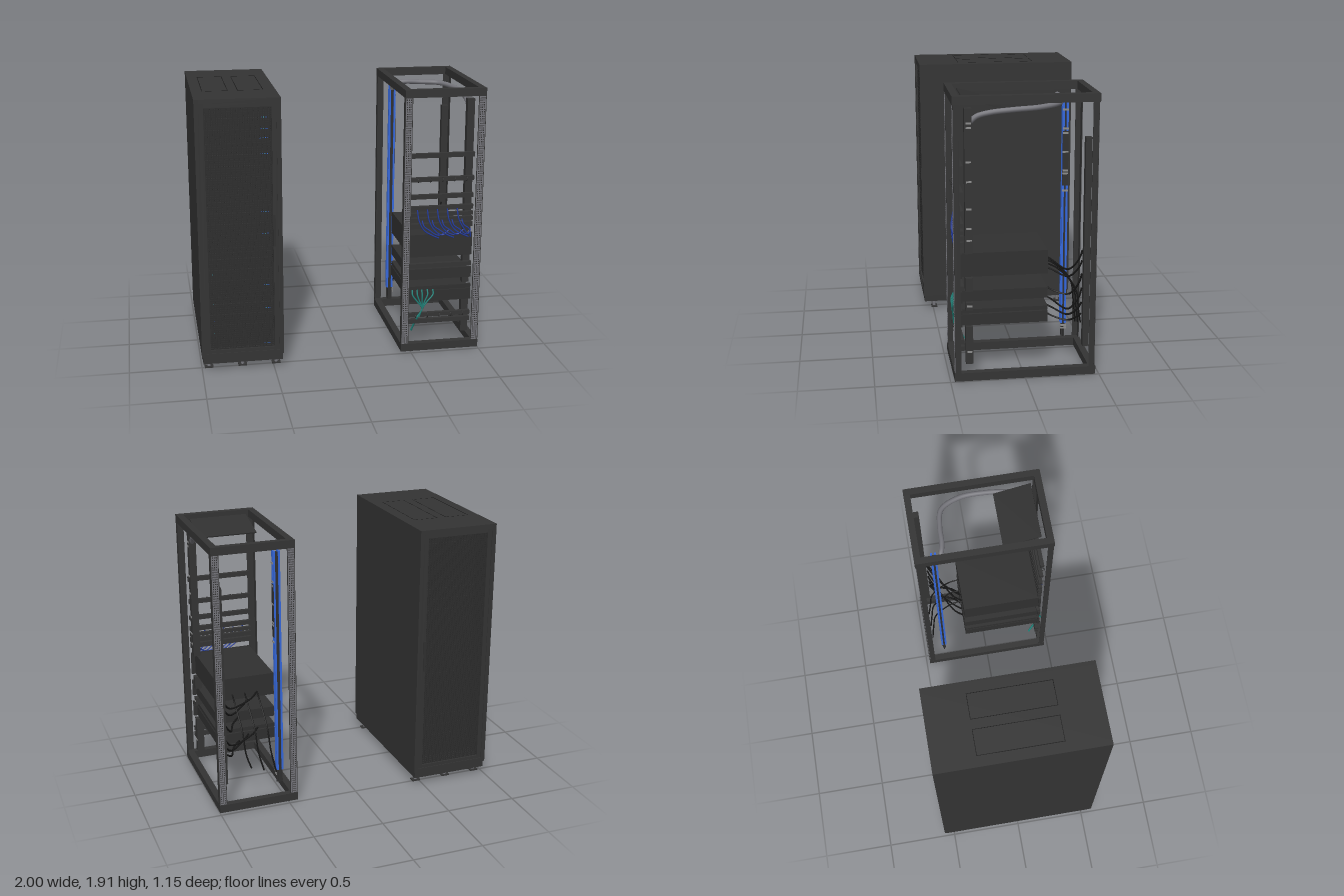
import * as THREE from 'three';
import { mergeGeometries } from 'three/addons/utils/BufferGeometryUtils.js';

const mat = (name, color) => {
  const m = new THREE.MeshStandardMaterial({ color });
  m.name = name;
  return m;
};

export function createModel() {
  const M = {
    frame: mat('charcoal frame', 0x343434),
    panel: mat('dark panel', 0x303030),
    mesh: mat('dark perforated steel', 0x2c2c2c),
    black: mat('black cable', 0x161616),
    grey: mat('grey conduit', 0x74747a),
    steel: mat('light steel', 0x8c8c8c),
    blue: mat('blue cable', 0x3568dc),
    navy: mat('navy patch cable', 0x243c9e),
    teal: mat('teal cable', 0x23857c),
    led: mat('cyan light', 0x3fc0d0),
  };
  const model = new THREE.Group();

  // box from its minimum and maximum corners
  const span = (x0, x1, y0, y1, z0, z1) =>
    new THREE.BoxGeometry(x1 - x0, y1 - y0, z1 - z0)
      .translate((x0 + x1) / 2, (y0 + y1) / 2, (z0 + z1) / 2);
  const add = (parent, name, material, geos) => {
    const m = new THREE.Mesh(mergeGeometries([].concat(geos)), material);
    m.name = name;
    parent.add(m);
    return m;
  };
  const cable = (pts, r, seg = 20, sides = 6) =>
    new THREE.TubeGeometry(
      new THREE.CatmullRomCurve3(pts.map(p => new THREE.Vector3(...p))), seg, r, sides);
  const group = name => {
    const g = new THREE.Group();
    g.name = name;
    model.add(g);
    return g;
  };
  // grid of thin bars in the xy plane, leaving rectangular holes
  const grid = (x0, x1, y0, y1, z0, z1, cols, rows, bw, bh) => {
    const out = [];
    for (let i = 0; i <= cols; i++) {
      const x = x0 + bw / 2 + (x1 - x0 - bw) * i / cols;
      out.push(span(x - bw / 2, x + bw / 2, y0, y1, z0, z1));
    }
    for (let j = 0; j <= rows; j++) {
      const y = y0 + bh / 2 + (y1 - y0 - bh) * j / rows;
      out.push(span(x0, x1, y - bh / 2, y + bh / 2, z0, z1));
    }
    return out;
  };
  // rectangular border of four bars in the xy plane
  const border = (x0, x1, y0, y1, z0, z1, w, h) => [
    span(x0, x0 + w, y0, y1, z0, z1), span(x1 - w, x1, y0, y1, z0, z1),
    span(x0 + w, x1 - w, y0, y0 + h, z0, z1), span(x0 + w, x1 - w, y1 - h, y1, z0, z1)];

  // ---------- closed cabinet ----------
  const cab = group('closedCabinet');
  const D = 0.572;
  add(cab, 'cabinetShell', M.frame, border(-1, -0.43, 0.1, 1.908, -D, D, 0.03, 0.03));
  add(cab, 'plinth', M.frame, span(-0.992, -0.438, 0.054, 0.1, -0.565, 0.565));
  for (const x of [-0.84, -0.6])
    add(cab, 'roofPlateSeam', M.black,
      border(x - 0.088, x + 0.088, -0.28, 0.285, 1.907, 1.9086, 0.004, 0.004)
        .map(g => g.rotateX(-Math.PI / 2)));

  for (const s of [1, -1]) {
    const door = new THREE.Group();
    door.name = s > 0 ? 'frontDoor' : 'rearDoor';
    cab.add(door);
    add(door, 'doorFrame', M.frame,
      border(-0.975, -0.455, 0.118, 1.885, s * 0.556 - 0.011, s * 0.556 + 0.011, 0.037, 0.036));
    add(door, 'doorMesh', M.mesh,
      grid(-0.938, -0.492, 0.152, 1.85, s * 0.554 - 0.002, s * 0.554 + 0.002, 40, 110, 0.006, 0.0085));
    add(door, 'doorHandle', M.panel,
      span(-0.494, -0.476, 0.885, 1.11, s * 0.565 - 0.008, s * 0.565 + 0.008));
  }

  // equipment stacked behind the door, with air gaps between groups of units
  const units = [];
  const pitch = 1.7 / 42;
  for (let i = 0; i < 42; i++) {
    const y = 0.15 + i * pitch, gap = i % 2 ? 0.011 : 0.002;
    units.push(span(-0.935, -0.495, y, y + pitch - gap, -0.42, 0.5));
  }
  add(cab, 'cabinetServers', M.panel, units);

  // status lights just behind the door mesh
  const cyan = [], blue = [];
  const light = (x, y) => span(x, x + 0.009, y, y + 0.014, 0.545, 0.549);
  for (const y of [1.77, 1.69, 1.63, 1.52, 1.12, 0.97, 0.6, 0.43, 0.17])
    for (let k = 0; k < 5; k++) (k % 3 === 2 ? cyan : blue).push(light(-0.575 + k * 0.012, y));
  for (const [i, y] of [1.5, 1.41, 1.19, 0.86, 0.69, 0.47, 0.36, 0.26].entries())
    (i % 3 ? cyan : blue).push(light(-0.916, y));
  add(cab, 'cyanLights', M.led, cyan);
  add(cab, 'blueLights', M.blue, blue);

  // levelling feet
  const stems = [], pads = [];
  for (const x of [-0.95, -0.715, -0.478]) for (const z of [-0.49, 0.49]) {
    stems.push(new THREE.CylinderGeometry(0.012, 0.012, 0.05, 10).translate(x, 0.032, z));
    pads.push(span(x - 0.03, x + 0.03, 0, 0.009, z - 0.022, z + 0.022));
  }
  add(cab, 'footStems', M.grey, stems);
  add(cab, 'footPads', M.frame, pads);

  // ---------- open rack ----------
  const rack = group('openRack');
  for (const [y0, y1, name] of [[0.003, 0.06, 'baseFrame'], [1.853, 1.908, 'topFrame']])
    add(rack, name, M.frame, [
      span(0.43, 0.477, y0, y1, -0.475, 0.472), span(0.953, 1, y0, y1, -0.475, 0.472),
      span(0.477, 0.953, y0, y1, 0.425, 0.472), span(0.477, 0.953, y0, y1, -0.475, -0.43),
    ]);

  // angle posts with a grey perforated strip on the outer face
  for (const sx of [-1, 1]) for (const sz of [-1, 1]) {
    const x = 0.715 + sx * 0.258, xs = 0.715 + sx * 0.282, z = sz * 0.466;
    add(rack, 'anglePost', M.frame, [
      span(x - 0.027, x + 0.027, 0.06, 1.853, z - 0.002, z + 0.002),
      span(xs - 0.002, xs + 0.002, 0.06, 1.853, sz * 0.448 - 0.02, sz * 0.448 + 0.02)]);
    add(rack, 'perforatedStrip', M.grey,
      grid(x - 0.022, x + 0.022, 0.062, 1.851, sz * 0.469 - 0.001, sz * 0.469 + 0.001, 3, 110, 0.0055, 0.0075));
  }

  // tilted tray under the roof
  const tray = add(rack, 'roofTray', M.panel, new THREE.BoxGeometry(0.41, 0.008, 0.27));
  tray.position.set(0.71, 1.845, 0.265);
  tray.rotation.x = -0.26;

  // deep servers with faceplates
  for (const [y0, y1] of [[0.70, 0.865], [0.53, 0.607], [0.447, 0.478], [0.362, 0.443]])
    add(rack, 'server', M.panel, [
      span(0.495, 0.918, y0 + 0.002, y1 - 0.002, -0.16, 0.42),
      span(0.485, 0.945, y0, y1, 0.412, 0.428)]);

  // shallow front panels
  for (const [y0, y1] of [[1.42, 1.452], [1.25, 1.28], [1.125, 1.156], [1.04, 1.072], [0.998, 1.022],
    [0.955, 0.986], [0.91, 0.945], [0.617, 0.648], [0.243, 0.273], [0.195, 0.227]])
    add(rack, 'blankPanel', M.frame, span(0.485, 0.945, y0, y1, 0.4, 0.428));

  // cable rings on the two manager panels
  for (const y of [1.265, 0.258]) {
    const rings = [];
    for (let i = 0; i < 5; i++)
      rings.push(new THREE.TorusGeometry(0.015, 0.003, 5, 10)
        .rotateY(Math.PI / 2).translate(0.54 + i * 0.087, y, 0.434));
    add(rack, 'cableRings', M.panel, rings);
  }

  // power strip on the rear post
  add(rack, 'powerStrip', M.frame, span(0.925, 0.97, 0.195, 1.62, -0.432, -0.39));

  // front vertical trunk, interrupted where the servers fill the rack
  add(rack, 'frontCableTrunk', M.frame,
    [[0.1, 0.362], [0.478, 0.53], [0.607, 0.7], [0.865, 1.82]]
      .map(([a, b]) => span(0.892, 0.943, a, b, 0.342, 0.39)));

  // rear trunk: four blue cable bands around a dark core, part covered
  const bands = [];
  for (const x of [0.497, 0.532]) for (const z of [-0.36, -0.333])
    bands.push(span(x, x + 0.013, 0.2, 1.81, z, z + 0.013));
  add(rack, 'blueTrunkCables', M.blue, bands);
  add(rack, 'rearTrunkCore', M.panel, [
    span(0.51, 0.532, 0.1, 1.8, -0.352, -0.328), span(0.545, 0.548, 1.2, 1.58, -0.36, -0.32),
    span(0.499, 0.507, 0.1, 0.2, -0.345, -0.337), span(0.535, 0.543, 0.1, 0.2, -0.345, -0.337)]);

  // clips on the outer sides of both trunks
  const clips = [];
  for (const y of [1.72, 1.69, 1.47, 1.34, 1.16, 1.03, 0.95, 0.5, 0.18])
    clips.push(span(0.941, 0.946, y, y + 0.012, 0.347, 0.382));
  for (const y of [1.72, 1.59, 1.56, 1.43, 1.3, 1.28, 1.16, 0.18, 0.16])
    clips.push(span(0.546, 0.55, y, y + 0.012, -0.36, -0.32));
  add(rack, 'trunkClips', M.steel, clips);

  // grey conduit looping under the roof
  add(rack, 'greyConduit', M.grey, cable([
    [0.515, 1.775, -0.312], [0.52, 1.82, -0.29], [0.59, 1.835, -0.27], [0.72, 1.83, -0.265],
    [0.85, 1.825, -0.235], [0.925, 1.815, -0.1], [0.938, 1.805, 0.08],
    [0.93, 1.79, 0.22], [0.92, 1.765, 0.31], [0.917, 1.72, 0.362]], 0.018, 60, 10));

  // power leads from the servers to the strip
  const leads = [];
  [[0.74, 0.86], [0.69, 0.79], [0.565, 0.70], [0.46, 0.6], [0.42, 0.5], [0.38, 0.42]].forEach(([y, end], i) => {
    const x = 0.62 + (i % 3) * 0.07;
    leads.push(cable([[x, y, -0.16], [x + 0.06, y - 0.02, -0.22],
      [0.86, y - 0.035, -0.31], [0.925, (y + end) / 2, -0.37], [0.938, end, -0.385]], 0.0065));
  });
  // leads hanging behind the rack
  for (let i = 0; i < 3; i++) {
    const x = 0.6 + i * 0.09;
    leads.push(cable([[x + 0.02, 0.74, -0.16], [x + 0.025, 0.7, -0.24], [x + 0.015, 0.55, -0.37],
      [x, 0.38, -0.4], [x - 0.03, 0.22 + i * 0.03, -0.42]], 0.0055));
  }
  add(rack, 'powerLeads', M.black, leads);

  // drooping patch cables across the front
  const patch = [];
  for (let i = 0; i < 10; i++) {
    const x = 0.54 + i * 0.036, e = Math.min(x + 0.16, 0.93);
    patch.push(cable([[x, 1.05 - (i % 2) * 0.08, 0.428], [x + 0.012, 0.97 - (i % 2) * 0.04, 0.442],
      [x + 0.05, 0.9, 0.443], [(x + e) / 2 + 0.03, 0.86, 0.44], [e, 0.835 + (i % 3) * 0.03, 0.432]], 0.005));
  }
  add(rack, 'patchCables', M.navy, patch);

  // teal cables gathered into one bundle
  const teal = [];
  for (const x of [0.515, 0.55, 0.585, 0.625, 0.665])
    teal.push(cable([[x, 0.455, 0.43], [x, 0.42, 0.445], [0.585 + (x - 0.585) * 0.5, 0.37, 0.445],
      [0.588, 0.31, 0.44], [0.56 + (x - 0.585) * 0.1, 0.25, 0.434]], 0.0055));
  teal.push(cable([[0.56, 0.25, 0.435], [0.545, 0.19, 0.395], [0.53, 0.12, 0.36]], 0.008));
  add(rack, 'tealCables', M.teal, teal);

  return model;
}
